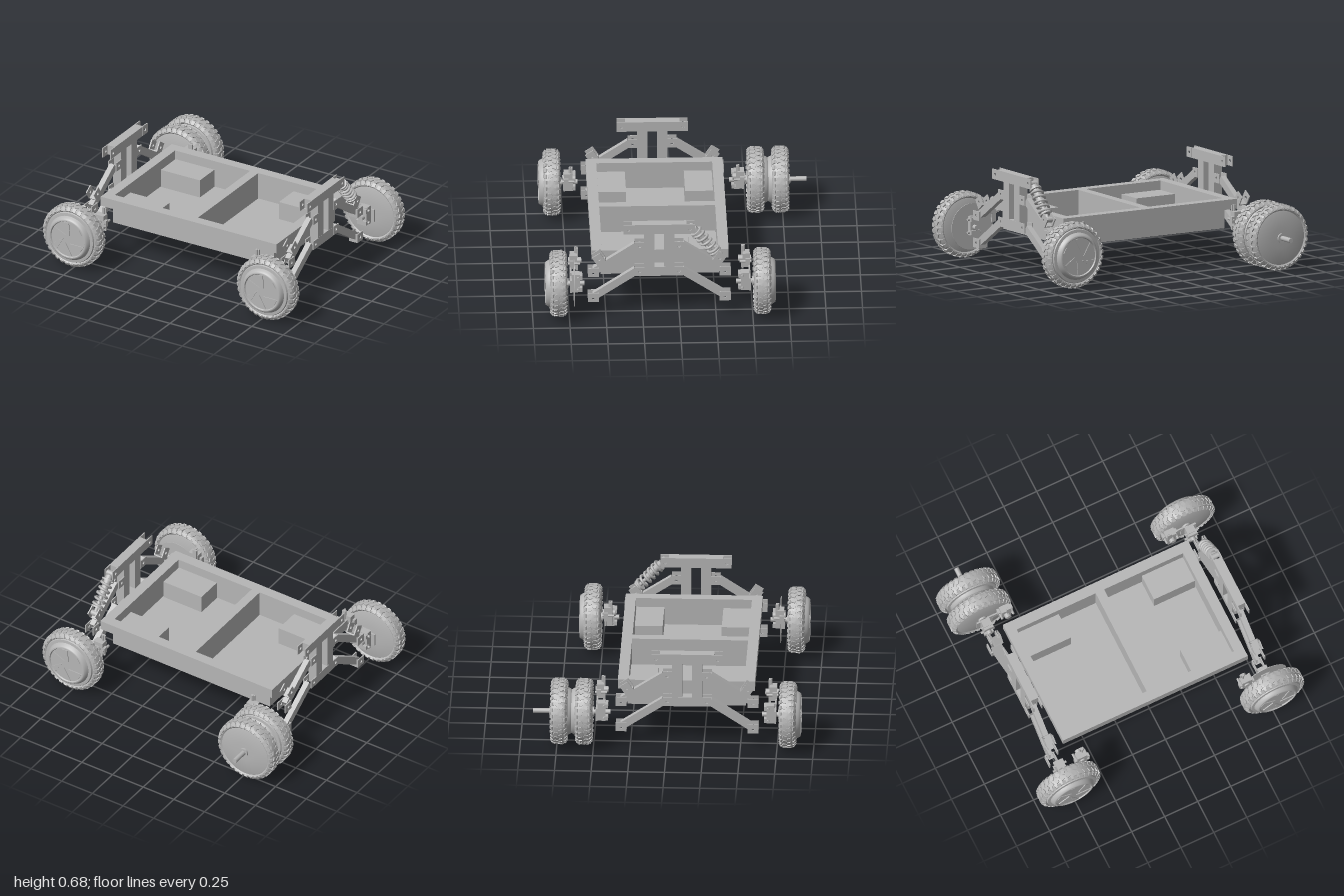
import * as THREE from 'three';
import { toCreasedNormals } from 'three/addons/utils/BufferGeometryUtils.js';

const grey = new THREE.MeshStandardMaterial({ color: 0xb6b6b6 });
grey.name = 'plain grey';

function add(parent, name, geo, x = 0, y = 0, z = 0) {
  const m = new THREE.Mesh(geo, grey);
  m.name = name;
  m.position.set(x, y, z);
  parent.add(m);
  return m;
}
const box = (parent, name, w, h, d, x, y, z) => add(parent, name, new THREE.BoxGeometry(w, h, d), x, y, z);

function group(parent, name, x = 0, y = 0, z = 0) {
  const g = new THREE.Group();
  g.name = name;
  g.position.set(x, y, z);
  parent.add(g);
  return g;
}

// cylinder lying along the given axis
function rod(parent, name, r, len, axis, x, y, z, sides = 20) {
  const geo = new THREE.CylinderGeometry(r, r, len, sides);
  if (axis === 'z') geo.rotateX(Math.PI / 2);
  if (axis === 'x') geo.rotateZ(Math.PI / 2);
  return add(parent, name, geo, x, y, z);
}

function rect(path, x0, y0, x1, y1) {
  path.moveTo(x0, y0);
  path.lineTo(x1, y0);
  path.lineTo(x1, y1);
  path.lineTo(x0, y1);
  path.closePath();
  return path;
}

// rectangular frame with two openings either side of a divider
function twinFrame(hx, hz, y0, y1) {
  const s = rect(new THREE.Shape(), -hx, -hz, hx, hz);
  s.holes.push(rect(new THREE.Path(), -0.63, -0.395, -0.032, 0.395));
  s.holes.push(rect(new THREE.Path(), 0.032, -0.395, 0.63, 0.395));
  const geo = new THREE.ExtrudeGeometry(s, { depth: y1 - y0, bevelEnabled: false });
  return geo.rotateX(-Math.PI / 2).translate(0, y0, 0);
}

// pair of drilled side plates, holes along x
function ears(parent, name, len, h, y, z) {
  const s = rect(new THREE.Shape(), -len / 2, -h / 2, len / 2, h / 2);
  s.holes.push(new THREE.Path().absarc(0, 0, 0.011, 0, Math.PI * 2, true));
  const geo = new THREE.ExtrudeGeometry(s, { depth: 0.008, bevelEnabled: false, curveSegments: 8 });
  geo.translate(0, 0, -0.004).rotateY(Math.PI / 2);
  for (const side of [-1, 1]) add(parent, name, geo, side * 0.03, y, z);
}

function lathe(points, segments) {
  const pts = points.map(([r, a]) => new THREE.Vector2(r, a));
  return toCreasedNormals(new THREE.LatheGeometry(pts, segments).rotateX(Math.PI / 2), 0.55);
}

// wheel with its outer face towards local +z
function makeWheel(parent, name) {
  const w = group(parent, name);
  add(w, 'tire', lathe([[0.185, -0.046], [0.196, -0.054], [0.208, -0.05], [0.217, -0.036], [0.222, -0.015],
    [0.222, 0.015], [0.217, 0.036], [0.208, 0.05], [0.196, 0.054], [0.185, 0.046]], 48));
  add(w, 'hub', lathe([[0, -0.056], [0.07, -0.055], [0.18, -0.05], [0.19, -0.046], [0.19, 0.046], [0.184, 0.058],
    [0.163, 0.06], [0.156, 0.074], [0.147, 0.087], [0.141, 0.09], [0.135, 0.09], [0.13, 0.082], [0, 0.082]], 48));
  // tread blocks: a staggered centre row and two shoulder rows
  const n = 32;
  const centre = new THREE.BoxGeometry(0.026, 0.012, 0.026);
  const shoulder = new THREE.BoxGeometry(0.024, 0.012, 0.026);
  for (let i = 0; i < n; i++) {
    for (const side of [-1, 1]) {
      const a = ((i + side * 0.25) / n) * Math.PI * 2;
      const spin = group(w, 'treadPair');
      spin.rotation.z = a;
      add(spin, 'centreTread', centre, 0, 0.2215, side * 0.017).rotation.y = side * 0.4;
      add(spin, 'shoulderTread', shoulder, 0, 0.209, side * 0.046).rotation.x = side * 0.95;
    }
  }
  // slanted vanes on the hub face
  const polar = (r, a) => new THREE.Vector2(r * Math.cos(a), r * Math.sin(a));
  for (let i = 0; i < 6; i++) {
    const a = (i / 6) * Math.PI * 2;
    const s = new THREE.Shape([polar(0.035, a), polar(0.124, a + 0.45), polar(0.128, a + 0.8), polar(0.07, a + 0.6)]);
    add(w, 'hubVane', new THREE.ExtrudeGeometry(s, { depth: 0.007, bevelEnabled: false }), 0, 0, 0.081);
  }
  rod(w, 'axleBoss', 0.032, 0.016, 'z', 0, 0, -0.06);
  rod(w, 'axle', 0.017, 0.125, 'z', 0, 0, -0.1155);
  return w;
}

// steering block and brake caliper on the inner side of a wheel
function makeKnuckle(w, dir) {
  const k = group(w, 'knuckle');
  box(k, 'knucklePlate', 0.115, 0.09, 0.012, 0, 0, -0.085);
  box(k, 'knuckleBlock', 0.062, 0.13, 0.055, 0, 0.01, -0.118);
  for (const y of [-0.035, 0.055]) {
    box(k, 'knuckleLug', 0.07, 0.03, 0.03, 0, y, -0.148);
    rod(k, 'knucklePin', 0.009, 0.1, 'x', 0, y, -0.135, 10);
  }
  const c = group(w, 'brakeCaliper', dir * 0.148, 0.1, -0.11);
  box(c, 'caliperBody', 0.075, 0.1, 0.05, 0, 0, 0.005);
  box(c, 'caliperBridge', 0.11, 0.045, 0.03, 0, -0.005, 0.015);
  box(c, 'caliperArm', 0.03, 0.17, 0.014, 0.015 * dir, 0.005, -0.02);
  box(c, 'caliperMount', 0.12, 0.035, 0.01, -dir * 0.07, -0.05, 0.025);
  rod(c, 'caliperPiston', 0.022, 0.09, 'z', 0, 0, -0.005, 14);
  for (const s of [-1, 1]) rod(c, 'caliperBolt', 0.009, 0.08, 'z', s * 0.042, -0.005, 0, 8);
  rod(c, 'cableStop', 0.008, 0.05, 'y', 0.015 * dir, 0.07, -0.01, 8);
}

// coil-over shock between two points in the y-z plane
function makeShock(parent, y0, z0, y1, z1) {
  const a = new THREE.Vector3(0, y0, z0), b = new THREE.Vector3(0, y1, z1);
  const len = a.distanceTo(b);
  const s = group(parent, 'shockAbsorber', 0, (y0 + y1) / 2, (z0 + z1) / 2);
  s.quaternion.setFromUnitVectors(new THREE.Vector3(0, 1, 0), a.sub(b).normalize());
  for (const e of [-1, 1]) {
    rod(s, 'shockEye', 0.019, 0.05, 'x', 0, e * len / 2, 0);
    rod(s, 'springSeat', 0.043, 0.012, 'y', 0, e * 0.1, 0);
  }
  rod(s, 'damperRod', 0.013, len, 'y', 0, 0, 0);
  rod(s, 'damperBody', 0.025, 0.15, 'y', 0, 0.055, 0);
  const pts = [];
  for (let i = 0; i <= 60; i++) {
    const t = (i / 60) * Math.PI * 10;
    pts.push(new THREE.Vector3(0.037 * Math.cos(t), -0.095 + 0.19 * i / 60, 0.037 * Math.sin(t)));
  }
  add(s, 'spring', new THREE.TubeGeometry(new THREE.CatmullRomCurve3(pts), 160, 0.0095, 8));
}

// suspension tower with two swing arms at each end
function makeSuspension(parent, name, x) {
  const g = group(parent, name, x, 0, 0.1365);
  box(g, 'topBeam', 0.066, 0.07, 0.37, 0, 0.65, 0);
  box(g, 'lowerCrossbar', 0.066, 0.068, 0.2, 0, 0.332, 0);
  for (const end of [1, -1]) {
    const h = group(g, end > 0 ? 'frontHalf' : 'rearHalf');
    if (end < 0) h.rotation.y = Math.PI;
    box(h, 'post', 0.064, 0.32, 0.07, 0, 0.458, 0.068);
    ears(h, 'beamEar', 0.066, 0.07, 0.65, 0.21);
    for (const y of [0.522, 0.332]) {
      ears(h, 'pivotEar', 0.065, 0.064, y, 0.134);
      const arm = group(h, 'swingArm', 0, y - 0.0965, 0.2975);
      arm.rotation.x = Math.atan2(0.193, 0.292);
      box(arm, 'armTube', 0.038, 0.052, 0.34, 0, 0, 0);
      if (y > 0.5) {
        ears(arm, 'shockEar', 0.066, 0.072, 0.064, 0.095);
        box(arm, 'shockFoot', 0.066, 0.008, 0.066, 0, 0.03, 0.095);
      }
      ears(h, 'armEndEar', 0.075, 0.064, y - 0.195, 0.449);
      box(h, 'armEndPlate', 0.064, 0.064, 0.008, 0, y - 0.195, 0.416);
    }
    if (x > 0 && end < 0) makeShock(h, 0.65, 0.222, 0.428, 0.415);
  }
}

export function createModel() {
  const model = new THREE.Group();
  model.name = 'rollingChassis';

  // tray with rim, divider and four corner boxes
  const tray = group(model, 'tray', 0, 0, 0.1275);
  add(tray, 'trayRim', twinFrame(0.7, 0.467, 0.37, 0.438));
  add(tray, 'trayWalls', twinFrame(0.64, 0.403, 0.24, 0.37));
  box(tray, 'trayFloor', 1.28, 0.015, 0.806, 0, 0.2375, 0);
  for (const sx of [-1, 1]) for (const sz of [-1, 1])
    box(tray, 'cornerBox', 0.31, 0.13, 0.19, sx * 0.47, 0.31, sz * 0.296);

  for (const side of [1, -1]) {
    const label = side > 0 ? 'left' : 'right';
    makeSuspension(model, label + 'Suspension', side * 0.784);
    for (const facing of [1, -1]) {
      const w = makeWheel(model, label + (facing > 0 ? 'FrontWheel' : 'RearWheel'));
      w.position.set(side * 0.772, 0.229, facing > 0 ? 0.823 : -0.565);
      if (facing < 0) w.rotation.y = Math.PI;
      makeKnuckle(w, -side * facing);
      if (side > 0 && facing > 0) rod(w, 'brakeDisc', 0.16, 0.004, 'z', 0, 0, -0.108, 40);
    }
  }

  // reversed wheel behind the right rear one
  const spare = makeWheel(model, 'reversedRearWheel');
  spare.position.set(-0.772, 0.229, -0.735);
  return model;
}
